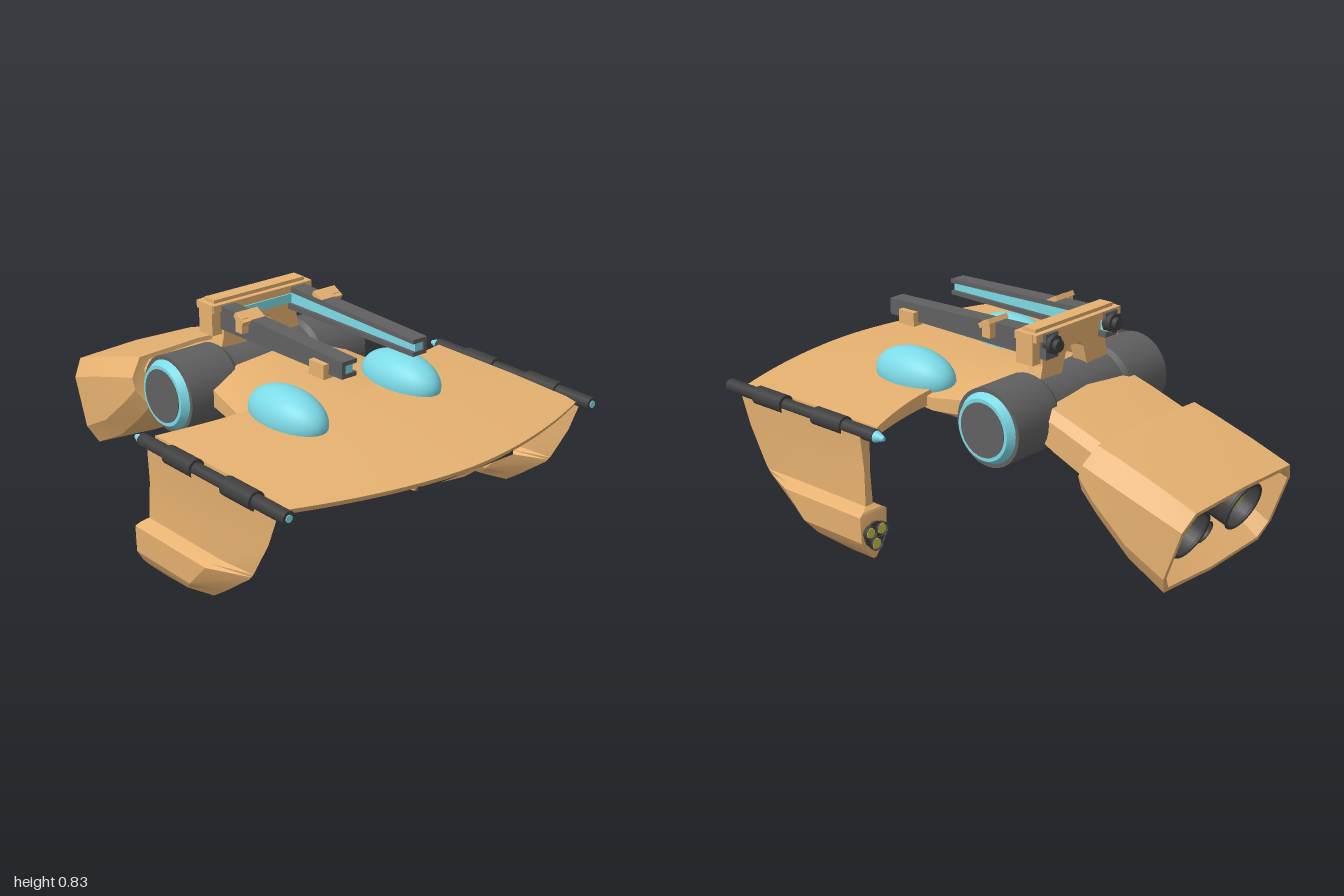
import * as THREE from 'three';
import { toCreasedNormals } from 'three/addons/utils/BufferGeometryUtils.js';

const mat = (color) => new THREE.MeshStandardMaterial({ color });
const TAN = mat(0xe6b170), GREY = mat(0x606060), DARK = mat(0x3e3e3e);
const CYAN = mat(0x7bdae6), YELLOW = mat(0xc8c046);
DARK.side = THREE.DoubleSide;

// Skin a list of equal-length rings of [x, y, z] and cap both ends
function loft(rings) {
  const n = rings[0].length, pos = [];
  const tri = (a, b, c) => pos.push(...a, ...b, ...c);
  const centre = (r) => [0, 1, 2].map((k) => r.reduce((s, p) => s + p[k], 0) / n);
  const first = rings[0], last = rings[rings.length - 1];
  const c0 = centre(first), c1 = centre(last);
  for (let j = 0; j < n; j++) {
    const k = (j + 1) % n;
    for (let i = 0; i < rings.length - 1; i++) {
      const a = rings[i], b = rings[i + 1];
      tri(a[j], a[k], b[k]);
      tri(a[j], b[k], b[j]);
    }
    tri(c0, first[k], first[j]);
    tri(c1, last[j], last[k]);
  }
  const g = new THREE.BufferGeometry();
  g.setAttribute('position', new THREE.Float32BufferAttribute(pos, 3));
  return toCreasedNormals(g, 0.4);
}

// Right half (bottom centre to top centre) mirrored into a full ring at depth z
const mirrorRing = (half, z) => [
  ...half.map(([x, y]) => [x, y, z]),
  ...half.slice(1, -1).reverse().map(([x, y]) => [-x, y, z]),
];

function add(parent, name, geometry, material, x = 0, y = 0, z = 0) {
  const m = new THREE.Mesh(geometry, material);
  m.name = name;
  m.position.set(x, y, z);
  parent.add(m);
  return m;
}
const box = (w, h, d) => new THREE.BoxGeometry(w, h, d);
const rod = (rFront, rBack, len, seg = 16, open = false) =>
  new THREE.CylinderGeometry(rFront, rBack, len, seg, 1, open).rotateX(Math.PI / 2);

function buildWing(g) {
  const rings = [];
  for (let i = 0; i <= 24; i++) {
    const x = -0.7 + (1.4 * i) / 24, t = Math.abs(x) / 0.7;
    const front = 0.998 - 0.153 * t ** 1.8;
    const rear = 0.2 - 0.08 * Math.max(0, (t - 0.5) / 0.5) ** 1.5;
    const rise = 0.035 * (1 - t * t), mid = rear + (front - rear) * 0.55;
    rings.push([
      [x, 0.475, rear], [x, 0.507 + rise, rear], [x, 0.507 + rise * 0.7, mid],
      [x, 0.5, front - 0.05], [x, 0.492, front], [x, 0.472, front - 0.01], [x, 0.47, mid],
    ]);
  }
  add(g, 'wing', loft(rings), TAN);
}

function buildBelly(g) {
  // z, half width, keel half width, keel height, side height, shoulder height, top height
  const rings = [
    [-0.1, 0.31, 0.18, 0.41, 0.475, 0.54, 0.59], [-0.02, 0.33, 0.18, 0.382, 0.47, 0.535, 0.585],
    [0.17, 0.37, 0.18, 0.35, 0.465, 0.515, 0.55], [0.45, 0.33, 0.18, 0.365, 0.468, 0.505, 0.525],
    [0.75, 0.28, 0.18, 0.41, 0.47, 0.485, 0.5], [0.96, 0.24, 0.18, 0.445, 0.46, 0.473, 0.485],
  ].map(([z, w, k, yb, ys, yh, yt]) => mirrorRing([[0, yb - 0.005], [k, yb + 0.015],
    [(w + k) / 2, ys * 0.6 + yb * 0.4], [w, ys], [w, yh], [0.2, yt], [0, yt + 0.005]], z));
  add(g, 'belly', loft(rings), TAN);
  add(g, 'noseSlot', box(0.46, 0.022, 0.06), DARK, 0, 0.471, 0.94);
}

function buildFin(side) {
  // y, front z, rear z, half width
  const rings = [
    [0.003, 0.27, 0.12, 0.006], [0.035, 0.49, 0.12, 0.035], [0.08, 0.555, 0.12, 0.062],
    [0.183, 0.69, 0.12, 0.066], [0.195, 0.7, 0.125, 0.045], [0.208, 0.71, 0.14, 0.018],
    [0.35, 0.79, 0.145, 0.014], [0.48, 0.84, 0.15, 0.024],
  ].map(([y, zf, zr, w]) => {
    const s = zf - (zf - zr) * 0.28;
    return [[0, y, zf], [w, y, s], [w, y, zr], [-w, y, zr], [-w, y, s]];
  });
  const fin = new THREE.Group();
  fin.name = side > 0 ? 'leftFin' : 'rightFin';
  fin.position.x = side * 0.733;
  add(fin, 'finBlade', loft(rings), TAN);

  // Small thruster cluster in the rear of the pod
  add(fin, 'finThrusterPlate', rod(0.05, 0.05, 0.012, 20), DARK, 0, 0.1, 0.116);
  for (const [x, y] of [[-0.028, 0.115], [0.028, 0.115], [0, 0.065]]) {
    add(fin, 'finThruster', rod(0.027, 0.027, 0.05, 12, true), DARK, x, y, 0.125);
    add(fin, 'finThrusterGlow', rod(0.02, 0.02, 0.01, 12), YELLOW, x, y, 0.11);
  }

  // Wing-tip gun made of stepped barrel segments: rear z, front z, radius
  for (const [a, b, r] of [[0.09, 0.25, 0.026], [0.25, 0.405, 0.035], [0.405, 0.575, 0.024],
    [0.575, 0.73, 0.036], [0.73, 0.895, 0.026]])
    add(fin, 'gunBarrel', rod(r, r, b - a), DARK, 0, 0.49, (a + b) / 2);
  add(fin, 'gunMuzzle', rod(0.014, 0.014, 0.01), CYAN, 0, 0.49, 0.893);
  add(fin, 'gunTailTip', rod(0.023, 0.008, 0.04), CYAN, 0, 0.49, 0.07);
  return fin;
}

function buildCrossCylinder(g) {
  const profile = [[0, -0.43], [0.15, -0.43], [0.15, -0.21], [0.137, -0.19], [0.13, 0],
    [0.137, 0.19], [0.15, 0.21], [0.15, 0.43], [0, 0.43]].map(([r, y]) => new THREE.Vector2(r, y));
  const hub = new THREE.LatheGeometry(profile, 36).rotateZ(-Math.PI / 2);
  add(g, 'crossCylinder', toCreasedNormals(hub, 0.5), GREY, 0, 0.5, -0.17);
  for (const s of [-1, 1]) {
    const ring = new THREE.CylinderGeometry(0.118, 0.135, 0.028, 32).rotateZ(-s * Math.PI / 2);
    add(g, 'endRing', ring, CYAN, s * 0.444, 0.5, -0.17);
    const cap = new THREE.CylinderGeometry(0.104, 0.104, 0.01, 32).rotateZ(Math.PI / 2);
    add(g, 'endCap', cap, GREY, s * 0.456, 0.5, -0.17);
  }
}

function buildEngine(g) {
  const engine = new THREE.Group();
  engine.name = 'engine';
  engine.position.set(0, 0.189, -0.93);
  engine.rotation.x = THREE.MathUtils.degToRad(-20);
  g.add(engine);

  // Shell: recess floor, rim, outer skin and front face
  const ring = (z, w, b, t, inset = 0) => mirrorRing([
    [0, b + inset], [0.29 - inset, b + 0.022 + inset], [w - inset, b + 0.1], [w - inset, t - 0.075],
    [0.285 - inset, t - 0.004 - inset], [0, t + 0.006 - inset],
  ], z);
  add(engine, 'engineShell', loft([
    ring(0.24, 0.33, -0.15, 0.18, 0.04), ring(0, 0.33, -0.198, 0.188, 0.018),
    ring(0, 0.33, -0.198, 0.188), ring(0.18, 0.342, -0.173, 0.184),
    ring(0.36, 0.345, -0.105, 0.174), ring(0.452, 0.34, -0.06, 0.165),
    ring(0.445, 0.34, -0.06, 0.165, 0.03),
  ]), TAN);

  // Neck joining the engine to the cross cylinder
  const neck = [[0.4, 0.275, -0.062, 0.15], [0.62, 0.27, -0.058, 0.143], [0.8, 0.265, -0.045, 0.13]]
    .map(([z, w, b, t]) => mirrorRing(
      [[0, b], [0.2, b + 0.01], [w, b + 0.06], [w, t - 0.04], [0.24, t - 0.005], [0, t + 0.005]], z));
  add(engine, 'engineNeck', loft(neck), TAN);

  // Two large nozzles with two small, deeper ones stacked between them
  for (const [x, y, r, z] of [[-0.16, 0, 0.1, 0.13], [0.16, 0, 0.1, 0.13],
    [0, 0.08, 0.048, 0.16], [0, -0.08, 0.048, 0.16]]) {
    add(engine, 'nozzle', rod(r, r * 0.95, 0.16, 24, true), DARK, x, y, z);
    add(engine, 'nozzleRing', new THREE.TorusGeometry(r * 0.95, r * 0.07, 6, 24), DARK, x, y, z - 0.08);
    add(engine, 'nozzleGlow', rod(r * 0.75, r * 0.75, 0.01, 24), YELLOW, x, y, z - 0.03);
    add(engine, 'nozzleFloor', rod(r * 0.95, r * 0.95, 0.01, 24), DARK, x, y, z - 0.023);
  }
}

function buildTopCannon(g) {
  const cannon = new THREE.Group();
  cannon.name = 'topCannon';
  g.add(cannon);

  // Arched pylon
  const arch = new THREE.Shape([[-0.2, 0.6], [-0.08, 0.6], [-0.05, 0.7], [-0.03, 0.72], [0.03, 0.72],
    [0.05, 0.7], [0.08, 0.6], [0.2, 0.6], [0.18, 0.68], [0.18, 0.79], [-0.18, 0.79], [-0.18, 0.68]]
    .map((p) => new THREE.Vector2(...p)));
  add(cannon, 'pylon', new THREE.ExtrudeGeometry(arch, { depth: 0.065, bevelEnabled: false }), TAN, 0, 0, -0.213);
  add(cannon, 'crossBar', box(0.48, 0.03, 0.105), TAN, 0, 0.8, -0.183);
  add(cannon, 'crossBarRidge', box(0.44, 0.015, 0.06), TAN, 0, 0.821, -0.183);
  add(cannon, 'powerBar', box(0.28, 0.035, 0.02), CYAN, 0, 0.764, -0.142);

  // Tapered bar running from z = -0.25 to z = 0.55
  const bar = (x0, x1, b0, t0, b1, t1, z1 = 0.55) => loft([[-0.25, b0, t0], [z1, b1, t1]].map(
    ([z, b, t]) => [[x0, b, z], [x1, b, z], [x1, t, z], [x0, t, z]]));
  for (const s of [-1, 1]) {
    const x = s * 0.17;
    // Channel-shaped rail around a glowing core
    add(cannon, 'railTop', bar(x - 0.034, x + 0.034, 0.79, 0.812, 0.772, 0.788), GREY);
    add(cannon, 'railBottom', bar(x - 0.034, x + 0.034, 0.715, 0.737, 0.724, 0.74), GREY);
    add(cannon, 'railWall', bar(x + s * 0.026 - 0.008, x + s * 0.026 + 0.008, 0.73, 0.8, 0.735, 0.78), GREY);
    add(cannon, 'railCore', bar(x - 0.02, x + 0.02, 0.73, 0.8, 0.735, 0.78, 0.545), CYAN);
    // Brackets and rear knobs
    add(cannon, 'crossBarEnd', box(0.045, 0.12, 0.08), TAN, s * 0.22, 0.755, -0.178);
    const clip = add(cannon, 'railClip', box(0.105, 0.02, 0.055), TAN, s * 0.19, 0.806, 0.02);
    clip.rotation.x = 0.5;
    add(cannon, 'railClipSide', box(0.03, 0.06, 0.04), TAN, s * 0.222, 0.782, 0.015);
    add(cannon, 'railFoot', box(0.045, 0.055, 0.08), TAN, s * 0.205, 0.735, 0.44);
    add(cannon, 'rearKnob', rod(0.038, 0.038, 0.035, 8), DARK, x, 0.77, -0.25);
    add(cannon, 'rearKnobTip', rod(0.024, 0.024, 0.03, 8), DARK, x, 0.77, -0.272);
  }
}

export function createModel() {
  const g = new THREE.Group();
  g.name = 'gunship';
  buildWing(g);
  buildBelly(g);
  buildCrossCylinder(g);
  buildEngine(g);
  buildTopCannon(g);
  for (const s of [-1, 1]) {
    g.add(buildFin(s));
    // Cockpit domes
    const dome = new THREE.SphereGeometry(1, 32, 16, 0, Math.PI * 2, 0, Math.PI * 0.62).scale(0.104, 0.105, 0.19);
    add(g, 'cockpitDome', dome, CYAN, s * 0.277, 0.545, 0.345);
  }
  return g;
}
